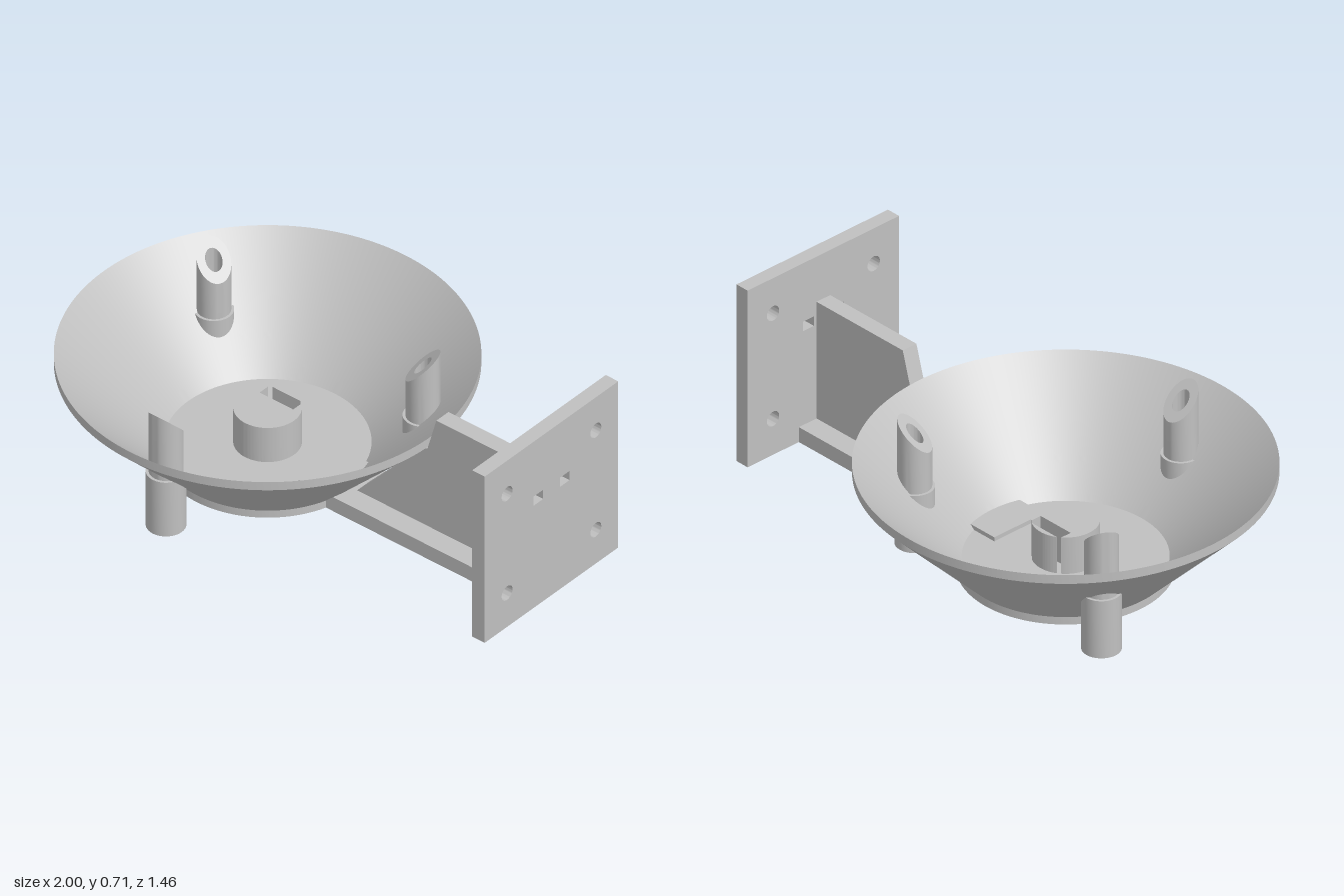
import * as THREE from 'three';
import { toCreasedNormals } from 'three/addons/utils/BufferGeometryUtils.js';

const BOWL_X = -0.27, POST_R = 0.54, POST_COUNT = 3;

// Lathe from [radius, y] points, keeping profile corners sharp
const lathe = (pts, segments) =>
  new THREE.LatheGeometry(pts.map(([r, y]) => new THREE.Vector2(r, y)), segments);

// Points from a to b (b excluded), so wall faces are small enough to cut
function subdivide([r0, y0], [r1, y1], n) {
  return Array.from({ length: n }, (_, i) => [r0 + (r1 - r0) * i / n, y0 + (y1 - y0) * i / n]);
}

// Drop the faces whose middle lies inside one of the post bores
function cutBores(geometry, radius) {
  const p = geometry.attributes.position, old = geometry.index.array, keep = [];
  for (let i = 0; i < old.length; i += 3) {
    const tri = [old[i], old[i + 1], old[i + 2]];
    const x = tri.reduce((s, v) => s + p.getX(v) / 3, 0);
    const z = tri.reduce((s, v) => s + p.getZ(v) / 3, 0);
    let inside = false;
    for (let k = 0; k < POST_COUNT; k++) {
      const a = k * 2 * Math.PI / POST_COUNT;
      if (Math.hypot(x - POST_R * Math.sin(a), z - POST_R * Math.cos(a)) < radius) inside = true;
    }
    if (!inside) keep.push(...tri);
  }
  geometry.setIndex(keep);
  return geometry;
}

export function createModel() {
  const model = new THREE.Group();
  const grey = new THREE.MeshStandardMaterial({ color: 0xc0c0c0 });
  grey.name = 'grey';
  const add = (name, geometry, x = 0, y = 0, z = 0) => {
    const mesh = new THREE.Mesh(geometry, grey);
    mesh.name = name;
    mesh.position.set(x, y, z);
    model.add(mesh);
    return mesh;
  };

  // Conical bowl with a flat floor and a sharp rim
  const bowl = lathe([
    [0, 0], [0.376, 0],
    ...subdivide([0.376, 0.03], [0.732, 0.385], 32), [0.732, 0.385],
    ...subdivide([0.732, 0.42], [0.356, 0.044], 32), [0.356, 0.044],
    [0, 0.044],
  ], 240);
  add('bowl', toCreasedNormals(cutBores(bowl, 0.045), 0.5), BOWL_X);

  // Stepped hollow posts, tops cut at 45 degrees facing the bowl centre
  const post = lathe([
    [0.03, 0], [0.07, 0], [0.07, 0.23], [0.06, 0.23],
    [0.06, 0.44], [0.03, 0.44], [0.03, 0],
  ], 40);
  const p = post.attributes.position;
  for (let i = 0; i < p.count; i++) {
    if (p.getY(i) > 0.4) p.setY(i, p.getY(i) + p.getZ(i));
  }
  post.translate(0, 0, POST_R);
  const postGeometry = toCreasedNormals(post, 0.5);
  for (let k = 0; k < POST_COUNT; k++) {
    add('post' + (k + 1), postGeometry, BOWL_X).rotation.y = k * 2 * Math.PI / POST_COUNT;
  }

  // Central boss with a slot near its back
  const R = 0.118, slotHalf = 0.075, slotFront = 0.047, slotBack = 0.1;
  const a = Math.acos(slotHalf / R), b = Math.asin(slotBack / R);
  const body = new THREE.Shape();
  body.absarc(0, 0, R, Math.PI - a, 2 * Math.PI + a, false);
  body.lineTo(slotHalf, slotFront);
  body.lineTo(-slotHalf, slotFront);
  const sliver = new THREE.Shape();
  sliver.absarc(0, 0, R, b, Math.PI - b, false);
  const boss = new THREE.ExtrudeGeometry([body, sliver], { depth: 0.15, bevelEnabled: false, curveSegments: 48 });
  boss.rotateX(-Math.PI / 2);
  add('boss', toCreasedNormals(boss, 0.5), BOWL_X, 0.04);

  // Arm: flat foot running into the bowl floor, and an upright web
  add('armFoot', new THREE.BoxGeometry(0.985, 0.06, 0.23), 0.4575, 0.03);
  const web = new THREE.Shape([
    [0.13, 0.03], [0.945, 0.03], [0.945, 0.53], [0.512, 0.53], [0.472, 0.39], [0.455, 0.385],
  ].map(([x, y]) => new THREE.Vector2(x, y)));
  add('armWeb', new THREE.ExtrudeGeometry(web, { depth: 0.064, bevelEnabled: false }), 0, 0, -0.032);

  // Mounting plate with four screw holes and two cable slots
  const plate = new THREE.Shape();
  const rect = (path, x0, y0, x1, y1) =>
    path.moveTo(x0, y0).lineTo(x1, y0).lineTo(x1, y1).lineTo(x0, y1).closePath();
  rect(plate, -0.355, 0, 0.355, 0.712);
  for (const side of [-1, 1]) {
    for (const y of [0.145, 0.57]) {
      plate.holes.push(new THREE.Path().absarc(side * 0.236, y, 0.029, 0, 2 * Math.PI, true));
    }
    const slot = new THREE.Path();
    rect(slot, side * 0.07 - 0.026, 0.438, side * 0.07 + 0.026, 0.477);
    plate.holes.push(slot);
  }
  const plateGeometry = new THREE.ExtrudeGeometry(plate, { depth: 0.056, bevelEnabled: false, curveSegments: 32 });
  plateGeometry.rotateY(Math.PI / 2);
  add('mountingPlate', toCreasedNormals(plateGeometry, 0.5), 0.944);

  return model;
}
